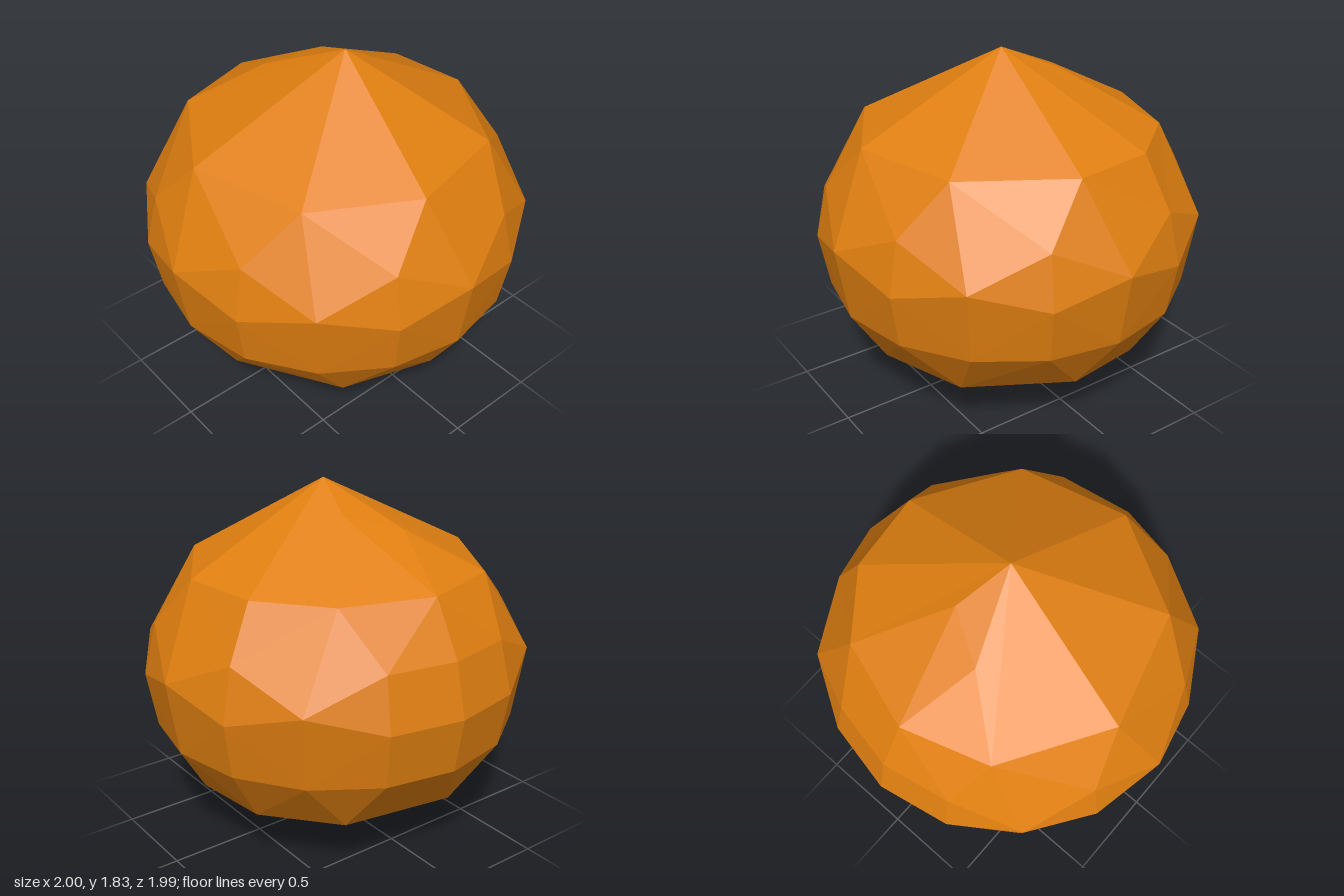
import * as THREE from 'three';

const DEG = Math.PI / 180;
const point = (angle, radius, y) =>
  new THREE.Vector3(radius * Math.cos(angle * DEG), y, radius * Math.sin(angle * DEG));

// Join a lower and an upper closed ring with triangles, taking the shorter diagonal each time.
function stitch(low, high) {
  const tris = [];
  let i = 0, j = 0;
  while (i < low.length || j < high.length) {
    const a = low[i % low.length], b = high[j % high.length];
    const a2 = low[(i + 1) % low.length], b2 = high[(j + 1) % high.length];
    const stepLow = j === high.length || (i < low.length && a2.distanceTo(b) <= b2.distanceTo(a));
    tris.push(stepLow ? [a, b, a2] : [a, b, b2]);
    if (stepLow) i++; else j++;
  }
  return tris;
}

function facets(name, tris, material) {
  const kept = tris.filter(([a, b, c]) => new THREE.Triangle(a, b, c).getArea() > 1e-5);
  const geometry = new THREE.BufferGeometry().setFromPoints(kept.flat());
  geometry.computeVertexNormals();
  const mesh = new THREE.Mesh(geometry, material);
  mesh.name = name;
  return mesh;
}

export function createModel() {
  const group = new THREE.Group();
  group.name = 'facetedStone';
  const amber = new THREE.MeshStandardMaterial({ color: 0xe07f10, flatShading: true });
  amber.name = 'amber';

  // Sixteen-sided rings; the notch band opens at every other corner and along the back
  const angles = Array.from({ length: 16 }, (_, i) => i * 22.5);
  const notched = (a) => a % 45 !== 0 || a === 270;
  const lower = angles.map((a) => point(a, 0.94, 0.595));
  const equator = angles.map((a) => notched(a) ? point(a, 0.99, 0.88) : point(a, 1, 0.98));
  const notchTop = angles.map((a) => notched(a) ? point(a, 0.925, 1.15) : point(a, 1, 0.98));

  // Nine-sided rings near the poles
  const shoulder = [9, 54, 98, 141, 188, 235, 270, 306, 337].map((a) => point(a, 0.775, 1.42));
  const foot = [8, 52, 89, 127, 172, 215, 258, 303, 337].map((a) => point(a, 0.76, 0.305));
  const tip = new THREE.Vector3(0.03, 1.83, 0.05);
  const bottom = new THREE.Vector3(0.02, 0, -0.02);

  // Crown: a fan to the tip, with two raised corners at the back
  const p = new THREE.Vector3(0.12, 1.7, -0.23);
  const q = new THREE.Vector3(-0.13, 1.63, -0.38);
  const crown = [];
  shoulder.forEach((s, i) => {
    if (i !== 5 && i !== 6) crown.push([s, tip, shoulder[(i + 1) % 9]]);
  });
  const [backRight, back, backLeft] = shoulder.slice(5, 8);
  crown.push([backRight, tip, q], [q, tip, p], [p, tip, backLeft],
    [backRight, q, back], [back, q, p], [back, p, backLeft]);

  group.add(
    facets('crown', crown, amber),
    facets('shoulderBand', stitch(notchTop, shoulder), amber),
    facets('notchBand', stitch(equator, notchTop), amber),
    facets('bellyBand', stitch(lower, equator), amber),
    facets('lowerBand', stitch(foot, lower), amber),
    facets('base', foot.map((f, i) => [bottom, f, foot[(i + 1) % 9]]), amber),
  );
  return group;
}
